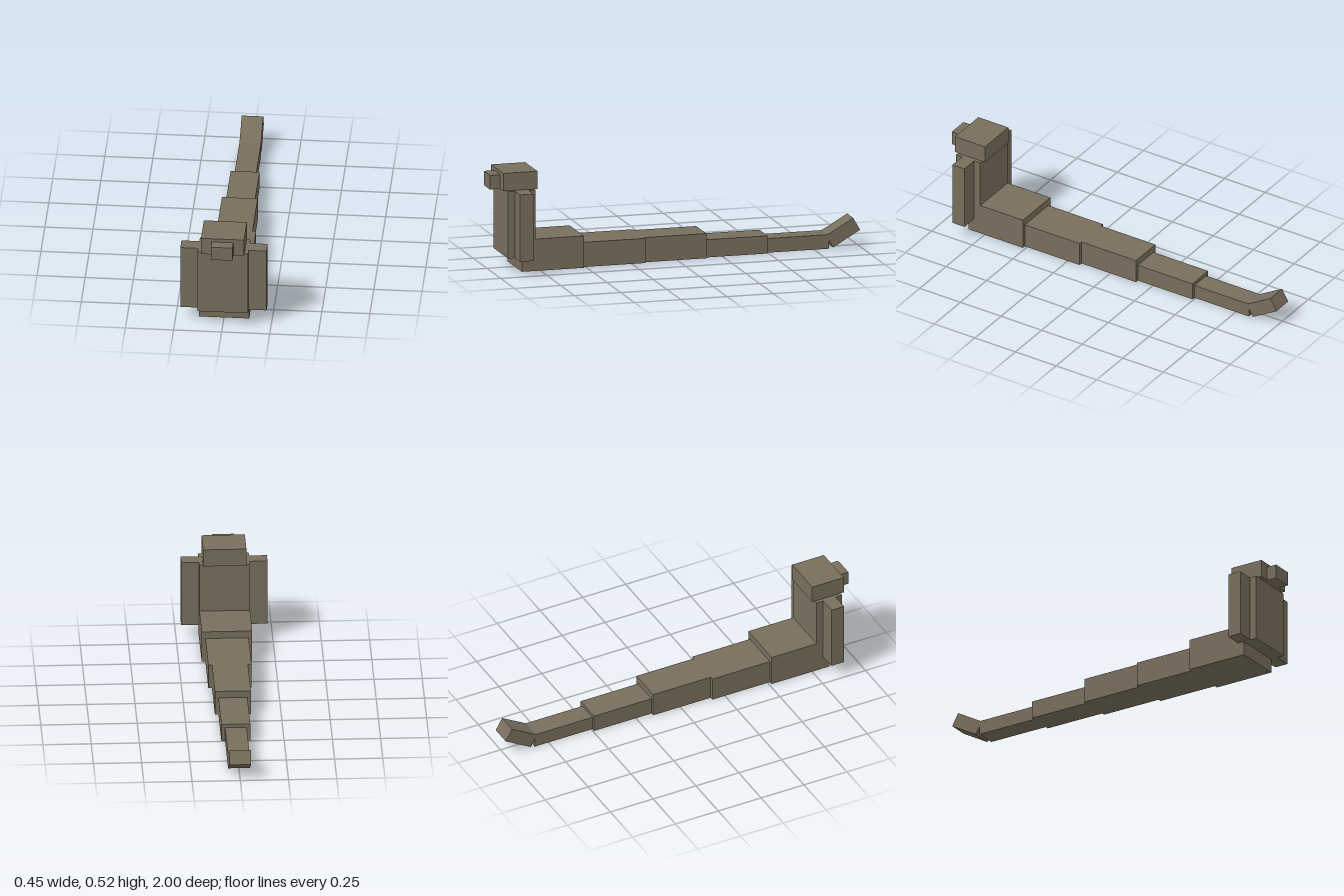
import * as THREE from 'three';

export function createModel() {
  const model = new THREE.Group();
  model.name = 'serpentFigure';
  const skin = new THREE.MeshStandardMaterial({ color: 0x786e5c });
  skin.name = 'taupe skin';

  // Box given by its half width and its y and z ranges, centred on x
  function block(name, halfWidth, y0, y1, z0, z1, x = 0) {
    const mesh = new THREE.Mesh(new THREE.BoxGeometry(halfWidth * 2, y1 - y0, z1 - z0), skin);
    mesh.position.set(x, (y0 + y1) / 2, (z0 + z1) / 2);
    mesh.name = name;
    model.add(mesh);
    return mesh;
  }

  // Upright upper body
  block('torso', 0.131, 0.075, 0.43, 0.777, 0.925);
  block('head', 0.112, 0.43, 0.524, 0.76, 0.945);
  block('snout', 0.056, 0.43, 0.505, 0.945, 1.0);
  for (const [name, side] of [['leftArm', 1], ['rightArm', -1]]) {
    block(name, 0.0465, 0.075, 0.43, 0.814, 0.888, side * 0.1775);
  }

  // Tail segments narrowing toward the back: half width, height
  const length = 0.336;
  const segments = [[0.131, 0.169], [0.112, 0.131], [0.093, 0.131], [0.075, 0.094], [0.056, 0.075]];
  segments.forEach(([halfWidth, height], i) => {
    const front = 0.85 - i * length;
    block('tailSegment' + (i + 1), halfWidth, 0, height, front - length, front);
  });

  // Raised tail tip
  const tip = block('tailTip', 0.056, 0.0425, 0.1175, -0.992, -0.824);
  tip.rotation.x = Math.PI / 6;

  return model;
}
